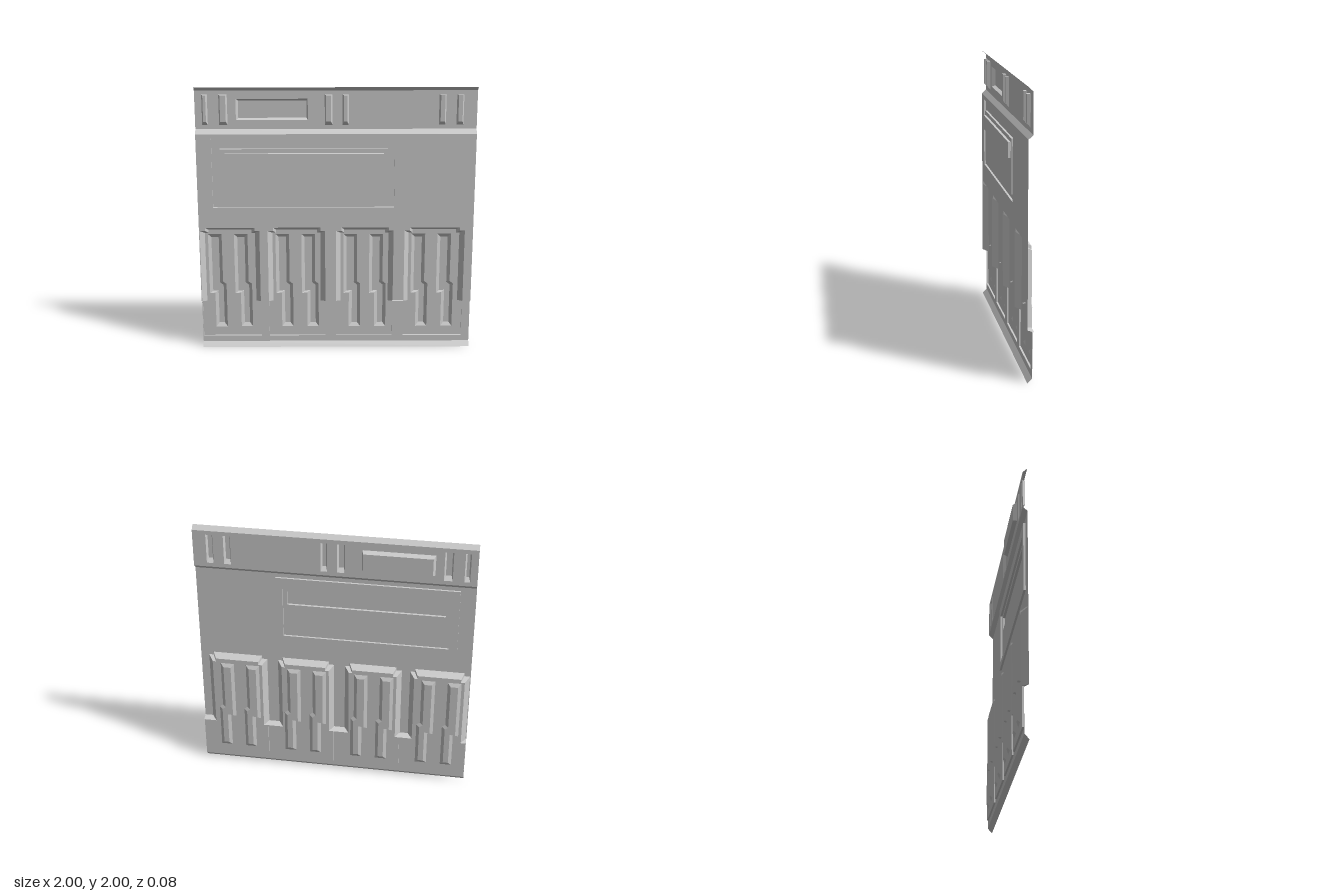
import * as THREE from 'three';

// Depths of the pressed sheet
const WALL = 0.02, BAND = -0.012, FLOOR = -0.025, DEEP = -0.04;

const rect = (x0, x1, y0, y1) => [[x0, y0], [x1, y0], [x1, y1], [x0, y1]];

// Flat sheet with holes at depth z
function sheet(outline, holes, z) {
  const toPts = (l) => l.map(([x, y]) => new THREE.Vector2(x, y));
  const shape = new THREE.Shape(toPts(outline));
  holes.forEach((h) => shape.holes.push(new THREE.Path(toPts(h))));
  return new THREE.ShapeGeometry(shape).translate(0, 0, z);
}

// Wall strip joining two matching outlines at different depths
function skirt(a, za, b, zb, closed = true) {
  const pos = [];
  const n = a.length;
  for (let i = 0; i < (closed ? n : n - 1); i++) {
    const j = (i + 1) % n;
    const A = [...a[i], za], B = [...a[j], za], C = [...b[j], zb], D = [...b[i], zb];
    pos.push(...A, ...D, ...C, ...A, ...C, ...B);
  }
  const g = new THREE.BufferGeometry();
  g.setAttribute('position', new THREE.Float32BufferAttribute(pos, 3));
  g.computeVertexNormals();
  return g;
}

export function createModel() {
  const model = new THREE.Group();
  const grey = new THREE.MeshStandardMaterial({ color: 0xcccccc, side: THREE.DoubleSide, flatShading: true });
  grey.name = 'plain grey';
  const add = (name, ...geometries) => {
    const part = new THREE.Group();
    part.name = name;
    geometries.forEach((g) => {
      const mesh = new THREE.Mesh(g, grey);
      mesh.name = name;
      part.add(mesh);
    });
    model.add(part);
  };

  const bays = [[-0.995, -0.56], [-0.5, -0.08], [0, 0.42], [0.5, 0.94]];

  // Stepped upper outline of a bay, at the wall and at the bay floor
  const bayRim = ([a, b]) => [[a, 0.375], [a, 0.93], [a + 0.04, 0.93], [a + 0.04, 0.955],
    [b - 0.035, 0.955], [b - 0.035, 0.93], [b, 0.93], [b, 0.375]];
  const bayFoot = ([a, b]) => [[a + 0.033, 0.36], [a + 0.033, 0.9], [a + 0.06, 0.9], [a + 0.06, 0.925],
    [b - 0.06, 0.925], [b - 0.06, 0.9], [b - 0.035, 0.9], [b - 0.035, 0.36]];

  // Main wall with piers between the bays
  const rim = [[-1, 0.375], ...bays.flatMap(bayRim), [1, 0.375]];
  const foot = [[-1, 0.36], ...bays.flatMap(bayFoot), [1, 0.36]];
  const panel = rect(-0.89, 0.42, 1.11, 1.63);
  add('mainWall', sheet([...rim, [1, 1.66], [-1, 1.66]], [panel], WALL));
  add('bayBevels', skirt(rim, WALL, foot, FLOOR, false));

  // Sunken panel with a raised plate and bar
  const plate = rect(-0.83, 0.37, 1.155, 1.55);
  const bar = rect(-0.795, 0.34, 1.41, 1.52);
  add('sunkenPanel', skirt(panel, WALL, panel, 0.005), sheet(panel, [plate], 0.005));
  add('raisedPlate', skirt(plate, 0.005, plate, WALL), sheet(plate, [bar], WALL));
  add('raisedBar', skirt(bar, WALL, bar, 0.038), sheet(bar, [], 0.038));

  // Header strip with bevelled edges, ribs and a sunken window
  const ribs = [[-0.95, -0.91], [-0.83, -0.77], [-0.08, -0.025], [0.045, 0.09], [0.73, 0.78], [0.855, 0.905]];
  const ribFoot = ribs.map(([a, b]) => rect(a, b, 1.72, 1.94));
  const box = rect(-0.71, -0.2, 1.755, 1.91);
  const boxFloor = rect(-0.695, -0.21, 1.765, 1.892);
  add('headerStrip', sheet(rect(-1, 1, 1.69, 1.97), [box, ...ribFoot], BAND));
  add('headerBevels',
    skirt([[-1, 2], [1, 2]], WALL, [[-1, 1.97], [1, 1.97]], BAND, false),
    skirt([[-1, 1.69], [1, 1.69]], BAND, [[-1, 1.66], [1, 1.66]], WALL, false));
  add('headerWindow', skirt(box, BAND, boxFloor, DEEP), sheet(boxFloor, [], DEEP));
  ribs.forEach(([a, b], i) => {
    const top = rect(a + 0.01, b - 0.01, 1.75, 1.94);
    add('headerRib', skirt(ribFoot[i], BAND, top, 0.012), sheet(top, [], 0.012));
  });

  // Lower band cut out around the bays
  const cuts = [...bays].reverse().flatMap(([a, b]) => [[b, 0.36], [b, 0.08], [a, 0.08], [a, 0.36]]);
  add('lowerBand', sheet([[-1, 0.035], [1, 0.035], [1, 0.36], ...cuts, [-1, 0.36]], [], BAND));
  add('bottomBevel', skirt([[-1, 0.035], [1, 0.035]], BAND, [[-1, 0], [1, 0]], WALL, false));

  // Bay floors, each with two kinked channels
  const channel = (x, d, e) => {
    const u0 = x + d, u1 = x + 0.1 - d, l0 = x + 0.04 + d, l1 = x + 0.125 - d;
    return [[u0, 0.89 - e], [u1, 0.89 - e], [u1, 0.515 - e / 2], [l1, 0.495 - e / 2],
      [l1, 0.15 + e], [l0, 0.15 + e], [l0, 0.425 + e / 2], [u0, 0.42 + e / 2]];
  };
  bays.forEach((bay) => {
    const [a, b] = bay;
    const starts = [a + 0.055, a + 0.245];
    const rims = starts.map((x) => channel(x, 0, 0));
    const lip = [[a, 0.36], [a, 0.08], [b, 0.08], [b, 0.36]];
    add('bayFloor', skirt(lip, BAND, lip, FLOOR, false),
      sheet([...lip, ...bayFoot(bay).reverse()], rims, FLOOR));
    starts.forEach((x, i) => {
      const inner = channel(x, 0.023, 0.027);
      add('bayChannel', skirt(rims[i], FLOOR, inner, DEEP), sheet(inner, [], DEEP));
    });
  });

  return model;
}
